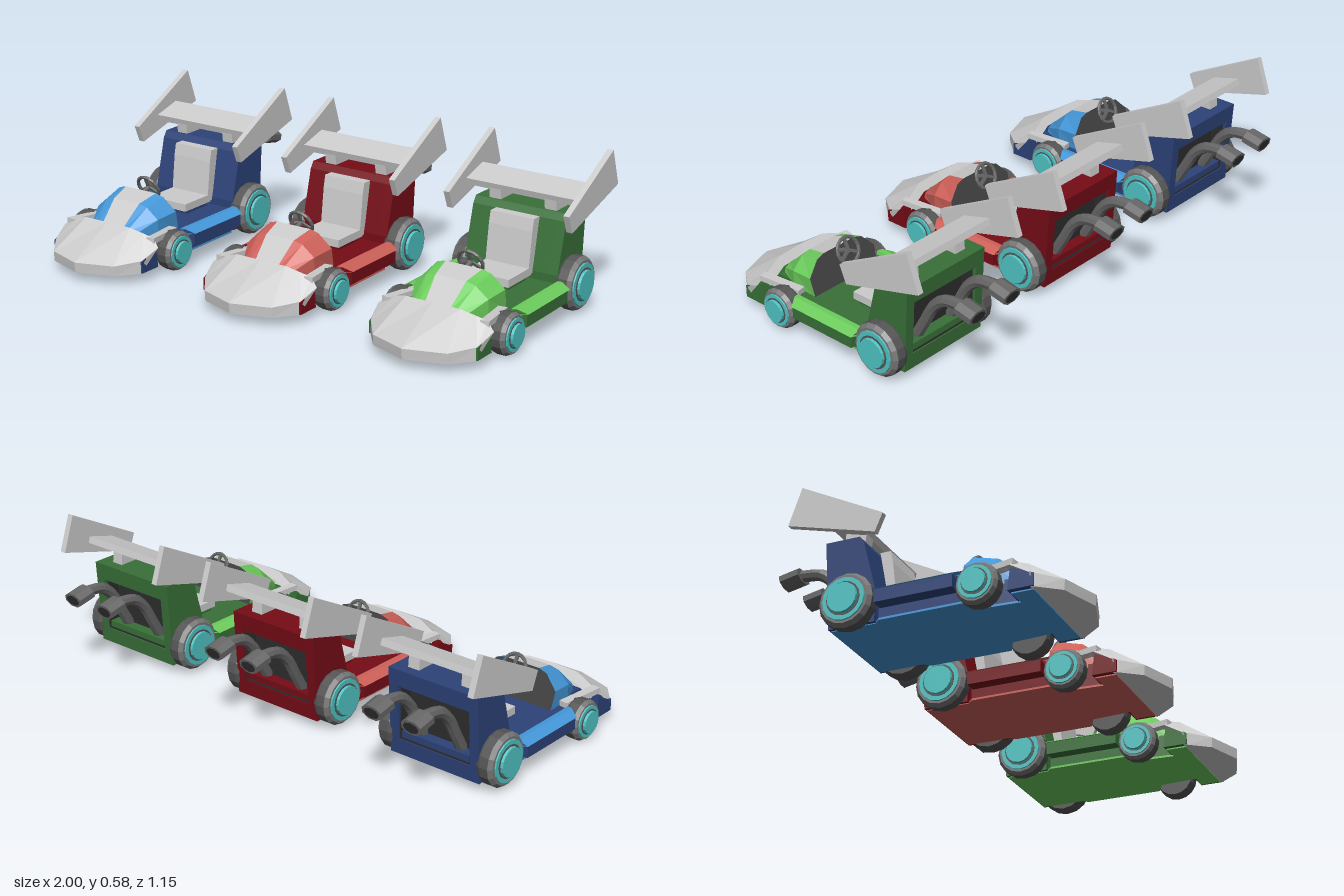
import * as THREE from 'three';

const mat = (color, side = THREE.FrontSide) =>
  new THREE.MeshStandardMaterial({ color, side, flatShading: true });
const GREY = mat(0xcccccc), PANEL = mat(0xcccccc, THREE.DoubleSide);
const STEEL = mat(0x666666), TYRE = mat(0x555555), RIM = mat(0x777777);
const TEAL = mat(0x4fc4c4), BLACK = mat(0x2c2c2c), DASH = mat(0x444444, THREE.DoubleSide);

function add(parent, name, geometry, material, x = 0, y = 0, z = 0) {
  const mesh = new THREE.Mesh(geometry, material);
  mesh.name = name;
  mesh.position.set(x, y, z);
  parent.add(mesh);
  return mesh;
}
const box = (w, h, d) => new THREE.BoxGeometry(w, h, d);
const shapeOf = pts => new THREE.Shape(pts.map(p => new THREE.Vector2(...p)));

// Side profile of (z, y) points spanning x0..x1
function sideExtrude(pts, x0, x1) {
  const g = new THREE.ExtrudeGeometry(shapeOf(pts), { depth: x1 - x0, bevelEnabled: false });
  return g.rotateY(-Math.PI / 2).translate(x1, 0, 0);
}
// Symmetric plan outline from half-width (x, z) points spanning y0..y1
function planExtrude(half, y0, y1) {
  const pts = [...half, ...half.map(([x, z]) => [-x, z]).reverse()];
  const g = new THREE.ExtrudeGeometry(shapeOf(pts), { depth: y1 - y0, bevelEnabled: false });
  return g.rotateX(Math.PI / 2).translate(0, y1, 0);
}
// Faceted skin over equal-length rows of [x, y, z]; faces row direction x column direction
function skin(rows) {
  const n = rows[0].length, index = [];
  for (let r = 0; r < rows.length - 1; r++)
    for (let c = 0; c < n - 1; c++) {
      const a = r * n + c, b = a + n;
      index.push(a, b, a + 1, b, b + 1, a + 1);
    }
  const g = new THREE.BufferGeometry();
  g.setAttribute('position', new THREE.Float32BufferAttribute(rows.flat(2), 3));
  g.setIndex(index);
  const flat = g.toNonIndexed();
  flat.computeVertexNormals();
  return flat;
}
// Mirror a row in x, reversed so that the faces keep pointing outwards
const mirror = row => row.map(([x, y, z]) => [-x, y, z]).reverse();
const wholeRow = row => [...mirror(row), ...row];
const sideRow = (row, s) => (s > 0 ? row : mirror(row));

// Bar between two points
function bar(parent, name, a, b, w, h, material) {
  const p = new THREE.Vector3(...a), q = new THREE.Vector3(...b);
  const m = add(parent, name, box(w, h, p.distanceTo(q)), material);
  m.position.copy(p).lerp(q, 0.5);
  m.lookAt(q);
}

function makeWheel(name, r, s, y, z) {
  const g = new THREE.Group();
  g.name = name;
  // Tyre, rim ring, then stepped hub, each a little further out
  const layers = [
    ['tyre', r * 0.93, r, 0.185, 0.2, TYRE], ['tyre', r, r, 0.2, 0.235, TYRE],
    ['tyreShoulder', r, r * 0.88, 0.235, 0.25, RIM],
    ['rimRing', r * 0.8, r * 0.78, 0.24, 0.255, TEAL],
    ['rimGroove', r * 0.62, r * 0.62, 0.24, 0.257, TYRE],
    ['hub', r * 0.57, r * 0.54, 0.24, 0.267, TEAL]];
  for (const [part, rIn, rOut, x0, x1, m] of layers) {
    const c = new THREE.CylinderGeometry(rOut, rIn, x1 - x0, 16).rotateZ(-s * Math.PI / 2);
    add(g, part, c, m, s * (x0 + x1) / 2, y, z);
  }
  return g;
}

function makeKart(name, darkColor, lightColor) {
  const kart = new THREE.Group();
  kart.name = name;
  const dark = mat(darkColor), light = mat(lightColor, THREE.DoubleSide);

  // Hull, narrow between the wheels
  const plan = [[0.13, 0.36], [0.14, 0.21], [0.2, 0.18], [0.2, -0.13], [0.18, -0.15], [0.18, -0.32]];
  add(kart, 'hull', planExtrude(plan, 0.045, 0.13), dark);
  add(kart, 'underside', planExtrude([[0.2, 0.435], [0.2, 0.355], ...plan], 0.037, 0.045), light);
  add(kart, 'frontBulkhead', sideExtrude(
    [[0.443, 0.042], [0.443, 0.088], [0.36, 0.125], [0.35, 0.042]], -0.22, 0.22), dark);

  // Engine block: solid cheeks and a middle notched at the back
  const front = [[-0.325, 0.04], [-0.15, 0.04], [-0.15, 0.16], [-0.2, 0.35], [-0.217, 0.375], [-0.347, 0.375]];
  const notch = [[-0.342, 0.31], [-0.27, 0.31], [-0.27, 0.1], [-0.329, 0.1]];
  add(kart, 'engineBlock', sideExtrude([...front, ...notch], -0.155, 0.155), dark);
  for (const s of [-1, 1]) {
    add(kart, 'engineCheek', sideExtrude(front, s < 0 ? -0.193 : 0.155, s < 0 ? -0.155 : 0.193), dark);
    add(kart, 'engineBaySide', box(0.006, 0.206, 0.052), BLACK, s * 0.152, 0.205, -0.298);
  }
  // Dark lining of the engine bay
  add(kart, 'engineBayPanel', box(0.31, 0.21, 0.006), BLACK, 0, 0.205, -0.273);
  add(kart, 'engineBayRoof', box(0.31, 0.006, 0.064), BLACK, 0, 0.307, -0.304);
  add(kart, 'engineBayFloor', box(0.31, 0.006, 0.052), BLACK, 0, 0.103, -0.298);

  // Seat
  add(kart, 'seatBase', box(0.18, 0.03, 0.16), GREY, 0, 0.16, -0.06);
  add(kart, 'seatBack', sideExtrude(
    [[-0.12, 0.15], [-0.14, 0.31], [-0.15, 0.355], [-0.19, 0.355], [-0.15, 0.15]], -0.09, 0.09), GREY);
  add(kart, 'seatPedestal', box(0.16, 0.03, 0.13), dark, 0, 0.135, -0.06);

  // Cowl, back to front: grey centre stripe with coloured flanks
  const cowl = [
    [[0.075, 0.262, 0.18], [0.11, 0.252, 0.178], [0.16, 0.2, 0.165], [0.155, 0.12, 0.145]],
    [[0.062, 0.24, 0.266], [0.1, 0.232, 0.266], [0.15, 0.19, 0.262], [0.15, 0.12, 0.26]],
    [[0.05, 0.155, 0.36], [0.075, 0.155, 0.36], [0.105, 0.145, 0.355], [0.115, 0.11, 0.35]]];
  const across = row => row.map(p => wholeRow([p]));
  add(kart, 'cowlStripe', skin(cowl.map(r => wholeRow([r[0]]))), PANEL);
  for (const s of [-1, 1])
    add(kart, 'cowlFlank', skin(cowl.map(r => sideRow(r, s))), light);
  add(kart, 'dashboard', skin(across(cowl[0]).reverse()), DASH);
  add(kart, 'cowlFront', skin(across(cowl[2])), PANEL);

  // Nose: rear edge, ridge, rim, skirt and underside rows
  const ridge = [[0, 0.187, 0.385], [0.11, 0.185, 0.38], [0.165, 0.168, 0.365], [0.205, 0.155, 0.355]];
  const rim = [[0, 0.08, 0.576], [0.15, 0.08, 0.525], [0.215, 0.09, 0.44], [0.235, 0.125, 0.365]];
  const skirt = [[0, 0.04, 0.572], [0.15, 0.04, 0.522], [0.213, 0.04, 0.443], [0.222, 0.09, 0.43]];
  add(kart, 'nose', skin([
    ridge.map(([x, y, z]) => [x, y - 0.03, z - 0.025]), ridge, rim, skirt,
    skirt.map(([x, y]) => [x, y, 0.43])].map(wholeRow)), PANEL);

  // Steering wheel on its column
  const steering = new THREE.Group();
  steering.name = 'steeringWheel';
  steering.position.set(0, 0.26, 0.133);
  steering.rotation.x = 0.42;
  add(steering, 'wheelRing', new THREE.TorusGeometry(0.049, 0.007, 6, 16), STEEL);
  for (const a of [Math.PI / 2, Math.PI * 7 / 6, Math.PI * 11 / 6])
    add(steering, 'spoke', box(0.048, 0.012, 0.008).translate(0.024, 0, 0).rotateZ(a), STEEL);
  add(steering, 'column', new THREE.CylinderGeometry(0.01, 0.01, 0.08, 8).rotateX(Math.PI / 2), STEEL, 0, 0, 0.04);
  kart.add(steering);

  // Rear wing
  const blade = add(kart, 'wingBlade', box(0.47, 0.026, 0.122), GREY, 0, 0.437, -0.277);
  blade.rotation.x = 0.27;
  const plate = [[-0.096, 0.41], [-0.415, 0.577], [-0.464, 0.437], [-0.124, 0.342]];

  for (const s of [-1, 1]) {
    add(kart, 'wingEndPlate', sideExtrude(plate, s * 0.247 - 0.012, s * 0.247 + 0.012), GREY);
    add(kart, 'wingSupport', sideExtrude(
      [[-0.225, 0.37], [-0.22, 0.415], [-0.3, 0.435], [-0.305, 0.37]],
      s * 0.115 - 0.024, s * 0.115 + 0.024), GREY);

    // Side pod with a sloping coloured top
    add(kart, 'sidePod', box(0.05, 0.048, 0.29), dark, s * 0.225, 0.104, 0.02);
    add(kart, 'sidePodTop', skin([
      [[0.197, 0.13, 0.19], [0.197, 0.13, -0.14]],
      [[0.2, 0.146, 0.19], [0.2, 0.146, -0.14]],
      [[0.22, 0.146, 0.185], [0.22, 0.146, -0.14]],
      [[0.255, 0.128, 0.165], [0.255, 0.128, -0.13]],
      [[0.2, 0.118, 0.19], [0.2, 0.118, -0.14]]].map(r => sideRow(r, s))
      .map(r => (s > 0 ? r : r.reverse())).sort(() => 0)[s > 0 ? 'slice' : 'reverse']()), light);

    // Struts from the nose to the front axle
    bar(kart, 'noseStrut', [s * 0.2, 0.148, 0.37], [s * 0.172, 0.14, 0.2], 0.034, 0.022, GREY);

    kart.add(makeWheel('frontWheel', 0.078, s, 0.08, 0.248));
    kart.add(makeWheel('rearWheel', 0.102, s, 0.115, -0.238));

    // Exhaust pipe with a wide, flattened muffler
    const path = new THREE.CatmullRomCurve3([
      [0.13, -0.285], [0.2, -0.325], [0.275, -0.368], [0.318, -0.42], [0.33, -0.5]]
      .map(([y, z]) => new THREE.Vector3(s * 0.085, y, z)));
    add(kart, 'exhaustPipe', new THREE.TubeGeometry(path, 12, 0.022, 8), STEEL);
    const muffler = add(kart, 'muffler', new THREE.CylinderGeometry(0.028, 0.028, 0.074, 8)
      .rotateY(Math.PI / 8).scale(1.6, 1, 1.04), STEEL, s * 0.085, 0.322, -0.533);
    muffler.rotation.x = Math.PI / 2 - 0.2;
    add(muffler, 'mufflerOpening', new THREE.CircleGeometry(0.021, 8)
      .rotateX(Math.PI / 2).scale(1.6, 1, 1), BLACK, 0, -0.0385, 0);
  }
  // Axles
  for (const [y, z] of [[0.08, 0.248], [0.115, -0.238]])
    add(kart, 'axle', new THREE.CylinderGeometry(0.016, 0.016, 0.42, 8).rotateZ(Math.PI / 2), STEEL, 0, y, z);
  return kart;
}

export function createModel() {
  const model = new THREE.Group();
  model.name = 'kartTrio';
  const liveries = [
    ['blueKart', 0x2c4278, 0x4497d8], ['redKart', 0x750c16, 0xcc6058], ['greenKart', 0x387038, 0x6ccc5c]];
  liveries.forEach(([name, dark, light], i) => {
    const kart = makeKart(name, dark, light);
    kart.position.x = (i - 1) * 0.732;
    model.add(kart);
  });
  return model;
}
